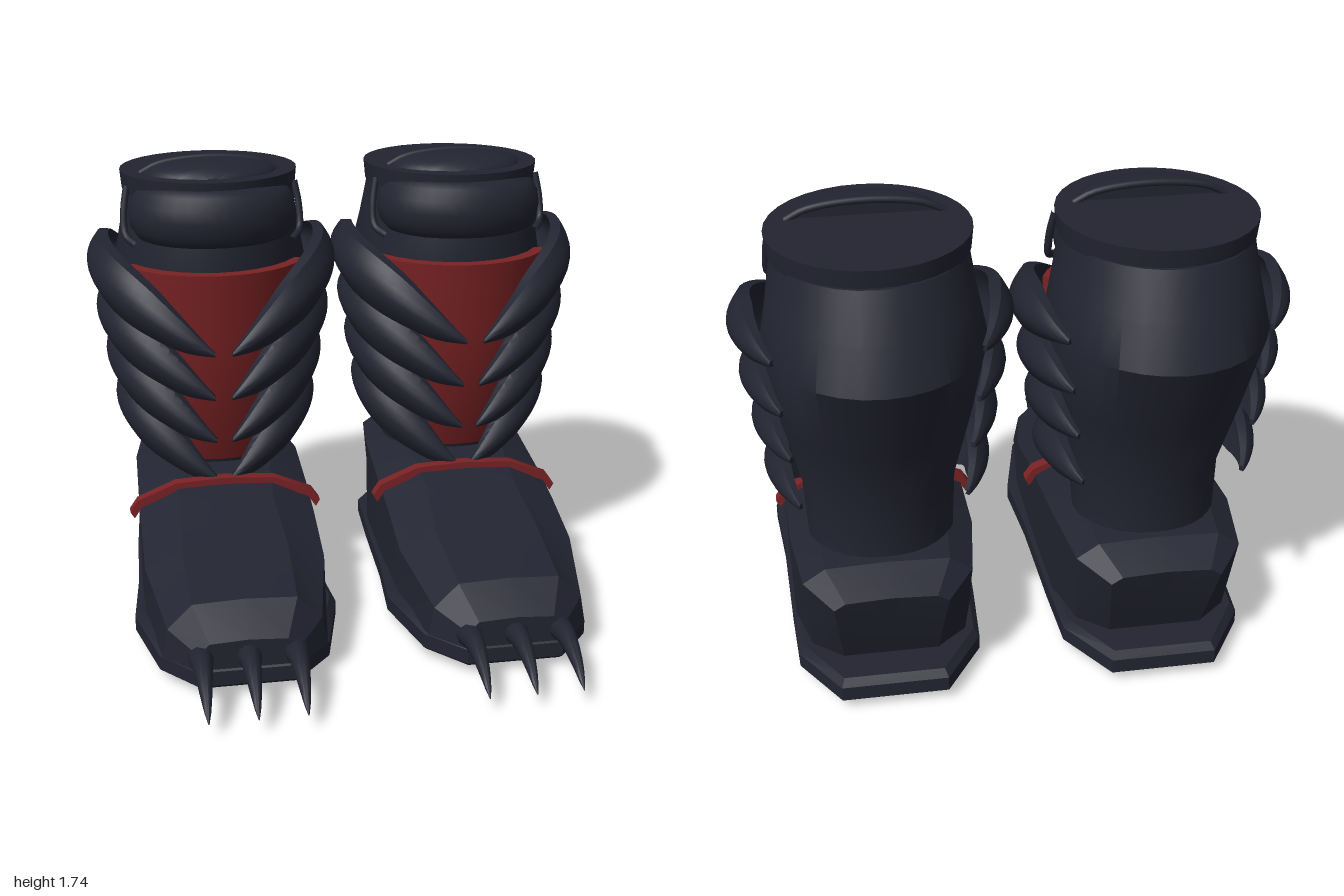
import * as THREE from 'three';
import { toCreasedNormals } from 'three/addons/utils/BufferGeometryUtils.js';

const leather = new THREE.MeshStandardMaterial({ color: 0x222431 });
leather.name = 'dark leather';
const red = new THREE.MeshStandardMaterial({ color: 0x7a2224 });
red.name = 'dark red';

const DEG = Math.PI / 180;

// Closed solid through a list of rings ([x, y, z] points), wound outward
function loft(rings, crease = 0.6) {
  const n = rings[0].length, pos = rings.flat(2), tris = [];
  for (let i = 0; i < rings.length - 1; i++) {
    for (let j = 0; j < n; j++) {
      const a = i * n + j, b = i * n + (j + 1) % n;
      tris.push([a, b, b + n], [a, b + n, a + n]);
    }
  }
  [0, rings.length - 1].forEach((r, end) => {
    const c = pos.length / 3;
    for (let k = 0; k < 3; k++) pos.push(rings[r].reduce((s, p) => s + p[k], 0) / n);
    for (let j = 0; j < n; j++) {
      const a = r * n + j, b = r * n + (j + 1) % n;
      tris.push(end ? [c, a, b] : [c, b, a]);
    }
  });
  const at = (i) => new THREE.Vector3().fromArray(pos, i * 3);
  const volume = tris.reduce((s, [a, b, c]) => s + at(a).dot(at(b).cross(at(c))), 0);
  if (volume < 0) tris.forEach((t) => t.reverse());
  const geo = new THREE.BufferGeometry();
  geo.setAttribute('position', new THREE.Float32BufferAttribute(pos, 3));
  geo.setIndex(tris.flat());
  return toCreasedNormals(geo, crease);
}

function add(group, name, geo, mat = leather) {
  const mesh = new THREE.Mesh(geo, mat);
  mesh.name = name;
  group.add(mesh);
  return mesh;
}

// Horizontal ellipse between a front and a back z
function ellipse(y, rx, front, back, n = 32) {
  return Array.from({ length: n }, (_, i) => {
    const a = (i / n) * Math.PI * 2;
    return [rx * Math.sin(a), y, (front + back) / 2 + ((front - back) / 2) * Math.cos(a)];
  });
}

function soleGeometry() {
  const half = [[0.18, 0.71], [0.31, 0.56], [0.385, 0.24], [0.36, -0.05], [0.345, -0.45], [0.33, -0.72], [0.19, -0.93]];
  const outline = [...half, ...half.map(([x, z]) => [-x, z]).reverse()];
  const layers = [[0, 0.76], [0.025, 0.84], [0.03, 0.96], [0.045, 1], [0.1, 1], [0.125, 0.94]];
  return loft(layers.map(([y, s]) => outline.map(([x, z]) => [x * s, y, -0.11 + (z + 0.11) * (s + 1) / 2])), 0.4);
}

// Cross-sections from toe to heel: z, base width, shoulder width and height, top width and height, heel lean
function footGeometry() {
  const sections = [
    [0.71, 0.19, 0.18, 0.17, 0.14, 0.21, 0],
    [0.59, 0.3, 0.28, 0.22, 0.19, 0.31, 0],
    [0.25, 0.345, 0.34, 0.3, 0.2, 0.37, 0],
    [0, 0.345, 0.34, 0.37, 0.18, 0.445, 0],
    [-0.2, 0.34, 0.34, 0.41, 0.19, 0.495, 0],
    [-0.5, 0.33, 0.335, 0.46, 0.24, 0.515, 0],
    [-0.77, 0.28, 0.3, 0.45, 0.22, 0.505, 0.08],
    [-0.9, 0.17, 0.2, 0.42, 0.16, 0.445, 0.12],
  ];
  return loft(sections.map(([z, wb, ws, ys, wt, yt, lean]) => {
    const side = [[wb, 0.11, z + lean], [ws, ys, z], [wt, yt, z]];
    return [...side, [0, yt + 0.008, z], ...side.map(([x, y, d]) => [-x, y, d]).reverse()];
  }), 0.35);
}

// Curved, tapering toe claw
function clawGeometry() {
  const path = new THREE.CatmullRomCurve3([[0.6, 0.125], [0.71, 0.155], [0.8, 0.158], [0.91, 0.12], [0.995, 0.065]]
    .map(([z, y]) => new THREE.Vector3(0, y, z)));
  const rings = [];
  for (let i = 0; i <= 10; i++) {
    const t = i / 10, p = path.getPoint(t), d = path.getTangent(t);
    const r = 0.052 * Math.pow(1 - t, 0.75) + 0.002;
    rings.push(Array.from({ length: 10 }, (_, k) => {
      const c = Math.cos(k * 36 * DEG) * r, s = Math.sin(k * 36 * DEG) * r;
      return [c, p.y + s * d.z, p.z - s * d.y];
    }));
  }
  return loft(rings, 1);
}

// Leaf-shaped armour plate sweeping round one side: angle from front, upper edge, lower edge
const leaf = new THREE.CatmullRomCurve3([
  [4, 1.058, 1.042], [20, 1.18, 1.055], [42, 1.31, 1.11], [65, 1.39, 1.17],
  [95, 1.435, 1.235], [116, 1.41, 1.28], [136, 1.345, 1.325],
].map((p) => new THREE.Vector3(p[0] / 100, p[1], p[2])));

function plateGeometry(side, drop, rx, rzFront) {
  const rings = [], steps = 26, m = 8;
  for (let i = 0; i <= steps; i++) {
    const t = i / steps, p = leaf.getPoint(t), a = p.x * 100 * DEG;
    const tall = Math.min(1, (p.y - p.z) / 0.18), ring = [];
    const point = (v, depth) => {
      const offset = 0.045 * tall * (Math.sin(Math.PI * v) - 1) + 0.02 * Math.pow(t, 4) - depth;
      const rz = (Math.cos(a) > 0 ? rzFront : 0.46) + offset;
      ring.push([side * (rx + offset) * Math.sin(a), p.y + (p.z - p.y) * v - drop, -0.43 + rz * Math.cos(a)]);
    };
    for (let k = 0; k <= m; k++) point(k / m, 0);
    for (let k = m; k >= 0; k--) point(k / m, 0.012 + 0.03 * tall);
    rings.push(ring);
  }
  return loft(rings, 0.8);
}

// Curved panel behind the plates
function panelGeometry() {
  return loft([[1.34, 0.38, 0.38], [1.05, 0.36, 0.345], [0.8, 0.32, 0.3], [0.53, 0.27, 0.19]].map(([y, rx, rz]) => {
    const arc = (inset) => Array.from({ length: 17 }, (_, i) => {
      const a = (-67 + (i * 134) / 16) * DEG;
      return [(rx - inset) * Math.sin(a), y, -0.43 + (rz - inset) * Math.cos(a)];
    });
    return [...arc(0), ...arc(0.06).reverse()];
  }), 0.7);
}

function createBoot(name) {
  const boot = new THREE.Group();
  boot.name = name;
  add(boot, 'sole', soleGeometry());
  add(boot, 'foot', footGeometry());
  [-0.17, 0, 0.17].forEach((x) => { add(boot, 'toeClaw', clawGeometry()).position.x = x; });

  // Shaft and collar
  add(boot, 'shaft', loft([
    [0.45, 0.26, -0.29, -0.74], [0.7, 0.275, -0.2, -0.74], [1, 0.34, -0.13, -0.86],
    [1.3, 0.385, -0.1, -0.99], [1.45, 0.355, -0.11, -0.925], [1.61, 0.33, -0.14, -0.845],
  ].map((r) => ellipse(...r)), 0.7));
  add(boot, 'collar', loft([ellipse(1.6, 0.34, -0.145, -0.83), ellipse(1.675, 0.347, -0.135, -0.84)], 0.7));

  // Padded tongue: front cushion, side seams and the raised lip in the collar
  const cushion = [[0, 1.42], [0.24, 1.42], [0.29, 1.44], [0.317, 1.48], [0.325, 1.53], [0.317, 1.58], [0.29, 1.625], [0.24, 1.645], [0, 1.645]];
  const pad = add(boot, 'tonguePad', toCreasedNormals(
    new THREE.LatheGeometry(cushion.map(([x, y]) => new THREE.Vector2(x, y)), 36), 0.9));
  pad.scale.z = 0.8;
  pad.position.z = -0.325;
  [-1, 1].forEach((s) => {
    const seam = new THREE.CatmullRomCurve3([[0.3, 1.42, -0.26], [0.338, 1.45, -0.32], [0.34, 1.54, -0.35], [0.325, 1.63, -0.37]]
      .map(([x, y, z]) => new THREE.Vector3(s * x, y, z)));
    add(boot, 'tongueSeam', new THREE.TubeGeometry(seam, 12, 0.014, 8));
  });
  const lip = [];
  for (let i = 0; i <= 8; i++) {
    const f = i / 8, w = Math.sqrt(1 - Math.pow(f * 0.98, 2));
    lip.push(Array.from({ length: 17 }, (_, k) => {
      const a = (k / 16) * Math.PI;
      return [0.26 * w * Math.cos(a), 1.665 + 0.066 * w * Math.sin(a), -0.4 + 0.19 * f];
    }));
  }
  add(boot, 'tongueLip', loft(lip, 0.8));
  const rim = new THREE.CatmullRomCurve3([[-0.27, 1.67], [-0.2, 1.705], [0, 1.727], [0.2, 1.705], [0.27, 1.67]]
    .map(([x, y]) => new THREE.Vector3(x, y, -0.4)));
  add(boot, 'tongueRim', new THREE.TubeGeometry(rim, 20, 0.013, 8));

  // Red panel and instep strap
  add(boot, 'frontPanel', panelGeometry(), red);
  const strap = [[0.37, 0.37], [0.34, 0.415], [0.19, 0.478], [0, 0.488]];
  const strapLine = [...strap, ...strap.slice(0, 3).map(([x, y]) => [-x, y]).reverse()];
  add(boot, 'instepStrap', loft(strapLine.map(([x, y]) => {
    const nx = x * 1.6, l = Math.hypot(nx, 1);
    return [[-1, -0.1], [1, -0.1], [1, -0.145], [-1, -0.145]]
      .map(([k, z]) => [x + k * 0.016 * nx / l, y + k * 0.016 / l, z]);
  }), 0.6), red);

  // Overlapping armour plates on both sides
  [[0, 0.488, 0.45], [0.19, 0.46, 0.405], [0.37, 0.43, 0.385], [0.56, 0.4, 0.31]].forEach((p) => {
    [-1, 1].forEach((s) => add(boot, s > 0 ? 'leftPlate' : 'rightPlate', plateGeometry(s, ...p)));
  });
  return boot;
}

export function createModel() {
  const model = new THREE.Group();
  model.name = 'clawedBoots';
  [['leftBoot', 0.488], ['rightBoot', -0.488]].forEach(([name, x]) => {
    const boot = createBoot(name);
    boot.position.x = x;
    model.add(boot);
  });
  return model;
}
